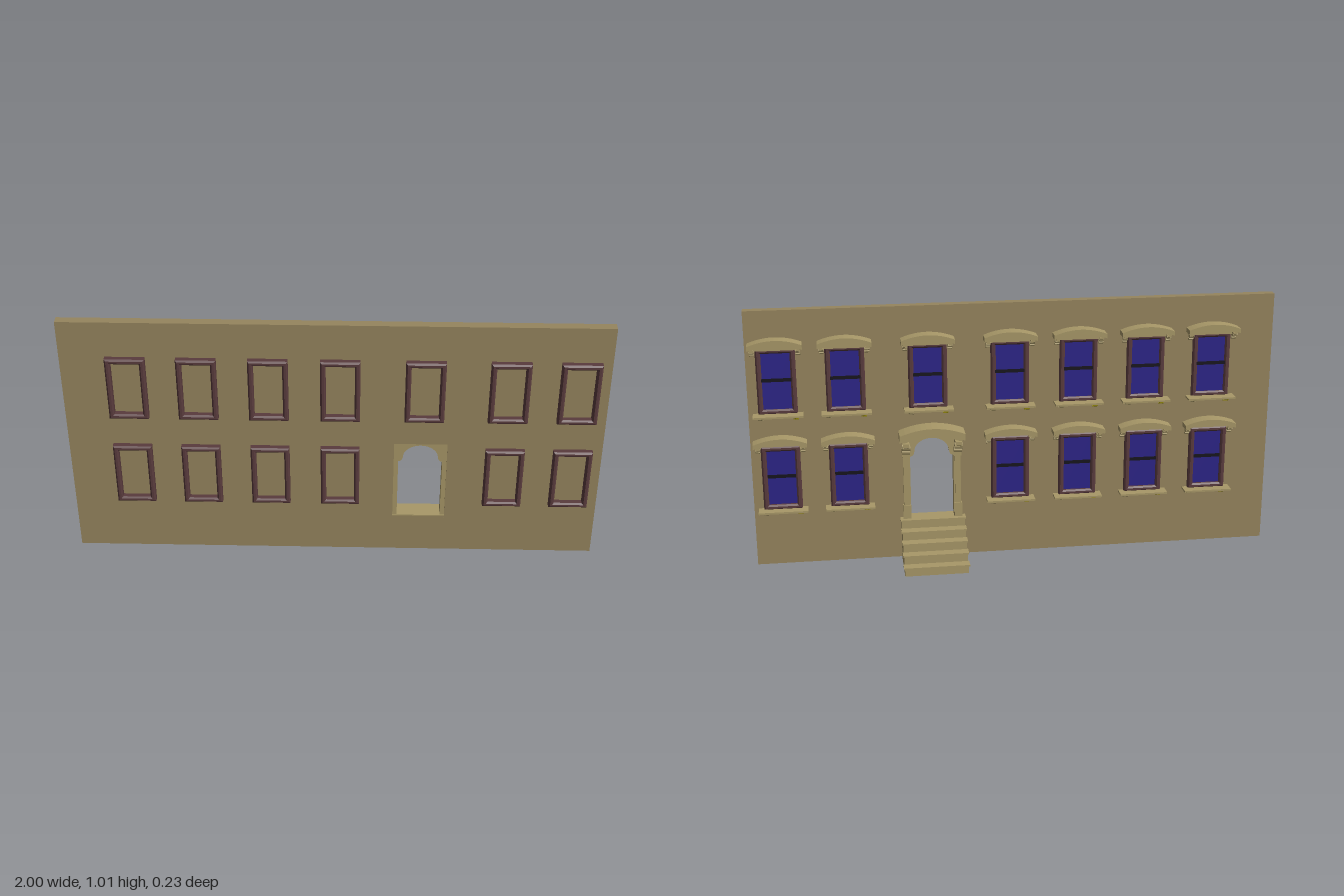
import * as THREE from 'three';

const mat = (color) => new THREE.MeshStandardMaterial({ color, flatShading: true });
const MAT = {
  wall: mat(0x96855e), trim: mat(0xa89868), frame: mat(0x593b3d),
  glass: mat(0x2c2488), bar: mat(0x15131c), accent: mat(0xa89a10),
};
const BACK = 0.06, FRONT = 0.095; // the two faces of the wall

function add(parent, name, geo, material) {
  const mesh = new THREE.Mesh(geo, material);
  mesh.name = name;
  parent.add(mesh);
  return mesh;
}

// Box given by its limits
function box(parent, name, material, x0, x1, y0, y1, z0, z1) {
  const g = new THREE.BoxGeometry(x1 - x0, y1 - y0, z1 - z0);
  g.translate((x0 + x1) / 2, (y0 + y1) / 2, (z0 + z1) / 2);
  return add(parent, name, g, material);
}

function rect(T, x0, x1, y0, y1) {
  const s = new T();
  s.moveTo(x0, y0); s.lineTo(x1, y0); s.lineTo(x1, y1); s.lineTo(x0, y1); s.closePath();
  return s;
}

// Outline in x and y, extruded between two depths
function slab(parent, name, material, shape, z0, z1, segs = 12) {
  const g = new THREE.ExtrudeGeometry(shape, { depth: z1 - z0, bevelEnabled: false, curveSegments: segs });
  g.translate(0, 0, z0);
  return add(parent, name, g, material);
}

// Side profile of [distance out from the wall's back face, y], extruded across x
function sideProfile(parent, name, material, pts, x, width) {
  const shape = new THREE.Shape(pts.map(([u, y]) => new THREE.Vector2(u, y)));
  const g = new THREE.ExtrudeGeometry(shape, { depth: width, bevelEnabled: false });
  g.translate(0, 0, -width / 2);
  g.rotateY(Math.PI / 2);
  g.translate(x, 0, BACK);
  return add(parent, name, g, material);
}

// Curved band: ends at y, centre raised
function archBand(half, y, thick, rise) {
  const s = new THREE.Shape();
  s.moveTo(-half, y);
  s.quadraticCurveTo(0, y + rise * 2, half, y);
  s.lineTo(half, y + thick);
  s.quadraticCurveTo(0, y + thick + rise * 2, -half, y + thick);
  s.closePath();
  return s;
}

// Scroll bracket hanging from y, reaching out from the wall
function scroll(parent, name, material, x, y, width, reach, drop) {
  sideProfile(parent, name, material, [
    [0, y], [0, y - drop], [reach * 0.25, y - drop], [reach * 0.42, y - drop * 0.85],
    [reach * 0.45, y - drop * 0.6], [reach * 0.75, y - drop * 0.55],
    [reach * 0.85, y - drop * 0.35], [reach, y - drop * 0.25], [reach, y],
  ], x, width);
  for (const [u, v, r] of [[0.3, 0.78, 0.2], [0.76, 0.32, 0.22]]) {
    const g = new THREE.CylinderGeometry(drop * r, drop * r, width * 1.25, 10);
    g.rotateZ(Math.PI / 2);
    g.translate(x, y - drop * v, BACK - reach * u);
    add(parent, name + 'Volute', g, material);
  }
}

function makeWindow(x, base, frameBack) {
  const w = new THREE.Group();
  w.name = 'window';
  const h = 0.255, half = 0.073, top = base + h;

  // Frame running through the wall, with chamfered edges on both faces
  const ring = rect(THREE.Shape, -half, half, base, top);
  ring.holes.push(rect(THREE.Path, -half + 0.02, half - 0.02, base + 0.02, top - 0.02));
  const b = 0.006;
  const g = new THREE.ExtrudeGeometry(ring, {
    depth: 0.12 - frameBack - 2 * b, bevelThickness: b, bevelSize: b, bevelOffset: -b, bevelSegments: 1,
  });
  g.translate(0, 0, frameBack + b);
  add(w, 'windowFrame', g, MAT.frame);

  // Two sashes and the meeting rail
  box(w, 'glass', MAT.glass, -half + 0.015, half - 0.015, base + 0.015, top - 0.015, 0.056, 0.062);
  const mid = base + h * 0.52;
  box(w, 'meetingRail', MAT.bar, -half + 0.015, half - 0.015, mid - 0.006, mid + 0.006, 0.051, 0.06);

  // Arched hood on a recessed moulding, with a filled head below it
  const head = new THREE.Shape();
  head.moveTo(-0.083, top - 0.008);
  head.lineTo(0.083, top - 0.008);
  head.lineTo(0.083, top + 0.008);
  head.quadraticCurveTo(0, top + 0.046, -0.083, top + 0.008);
  slab(w, 'hoodHead', MAT.trim, head, 0.046, BACK);
  slab(w, 'hoodMoulding', MAT.trim, archBand(0.092, top - 0.002, 0.012, 0.02), 0.02, BACK);
  slab(w, 'hood', MAT.trim, archBand(0.1, top + 0.003, 0.017, 0.02), 0.008, BACK);

  // Sill and paired brackets
  box(w, 'sill', MAT.trim, -0.093, 0.093, base - 0.003, base + 0.004, 0.008, BACK);
  box(w, 'sillMoulding', MAT.trim, -0.086, 0.086, base - 0.008, base - 0.003, 0.03, BACK);
  for (const s of [-1, 1]) {
    scroll(w, 'hoodBracket', MAT.trim, s * 0.084, top, 0.014, 0.032, 0.028);
    scroll(w, 'sillBracket', s < 0 ? MAT.accent : MAT.trim, s * 0.065, base - 0.007, 0.016, 0.026, 0.016);
  }
  w.position.x = x;
  return w;
}

// Opening with shoulders and a round head
function doorOpening() {
  const p = new THREE.Path();
  p.moveTo(-0.083, 0.175);
  p.lineTo(0.083, 0.175);
  p.lineTo(0.083, 0.425);
  p.quadraticCurveTo(0.068, 0.428, 0.066, 0.445);
  p.absellipse(0, 0.445, 0.066, 0.053, 0, Math.PI, false);
  p.quadraticCurveTo(-0.068, 0.428, -0.083, 0.425);
  p.closePath();
  return p;
}

function makeEntrance(x) {
  const e = new THREE.Group();
  e.name = 'entrance';

  // Surround lining the opening
  const lining = rect(THREE.Shape, -0.1, 0.1, 0.17, 0.507);
  lining.holes.push(doorOpening());
  slab(e, 'doorSurround', MAT.trim, lining, 0.05, 0.091);
  box(e, 'threshold', MAT.trim, -0.1, 0.1, 0.165, 0.175, 0.05, FRONT);

  // Pilasters with base, cap and scroll brackets
  for (const s of [-1, 1]) {
    const px = s * 0.099;
    box(e, 'pilaster', MAT.trim, px - 0.011, px + 0.011, 0.17, 0.5, 0.044, BACK);
    box(e, 'pilasterBase', MAT.trim, px - 0.015, px + 0.015, 0.17, 0.23, 0.04, BACK);
    box(e, 'pilasterCap', MAT.trim, px - 0.014, px + 0.014, 0.425, 0.44, 0.038, BACK);
    scroll(e, 'doorBracket', MAT.trim, px, 0.497, 0.024, 0.07, 0.058);
  }

  // Curved hood in two tiers
  const head = new THREE.Shape();
  head.moveTo(-0.11, 0.49);
  head.lineTo(-0.066, 0.49);
  head.quadraticCurveTo(0, 0.512, 0.066, 0.49);
  head.lineTo(0.11, 0.49);
  head.lineTo(0.11, 0.505);
  head.quadraticCurveTo(0, 0.555, -0.11, 0.505);
  slab(e, 'doorHoodHead', MAT.trim, head, 0.045, BACK);
  slab(e, 'doorHoodMoulding', MAT.trim, archBand(0.114, 0.492, 0.02, 0.025), 0.003, BACK);
  slab(e, 'doorHood', MAT.trim, archBand(0.124, 0.503, 0.027, 0.025), -0.016, BACK);

  // Steps: solid flight with overhanging treads
  const n = 5, rise = 0.035, run = 0.0342, reach = 0.17;
  const pts = [[0, 0.003], [0, n * rise - 0.006]];
  for (let i = n - 1; i >= 0; i--) {
    const u = reach - i * run;
    pts.push([u, (i + 1) * rise - 0.006], [u, i ? i * rise - 0.006 : 0]);
  }
  sideProfile(e, 'steps', MAT.trim, pts, 0, 0.244);
  for (let i = 0; i < n; i++) {
    const z = BACK - reach + i * run, y = (i + 1) * rise;
    box(e, 'tread', MAT.trim, -0.126, 0.126, y - 0.006, y, z - 0.004, Math.min(z + run + 0.002, BACK));
  }
  e.position.x = x;
  return e;
}

export function createModel() {
  const model = new THREE.Group();
  model.name = 'facade';
  const doorX = 0.322;

  // Wall with the doorway cut through
  const wall = rect(THREE.Shape, -1, 1, 0.01, 1.013);
  wall.holes.push(rect(THREE.Path, doorX - 0.1, doorX + 0.1, 0.17, 0.507));
  slab(model, 'wall', MAT.wall, wall, BACK, FRONT);

  // Two storeys of windows; the doorway takes one bay of the lower storey
  for (const x of [-0.76, -0.503, -0.243, 0.02, 0.33, 0.637, 0.89]) {
    model.add(makeWindow(x, 0.617, 0.048));
    if (x !== 0.33) model.add(makeWindow(x, 0.238, 0.042));
  }
  model.add(makeEntrance(doorX));
  return model;
}
